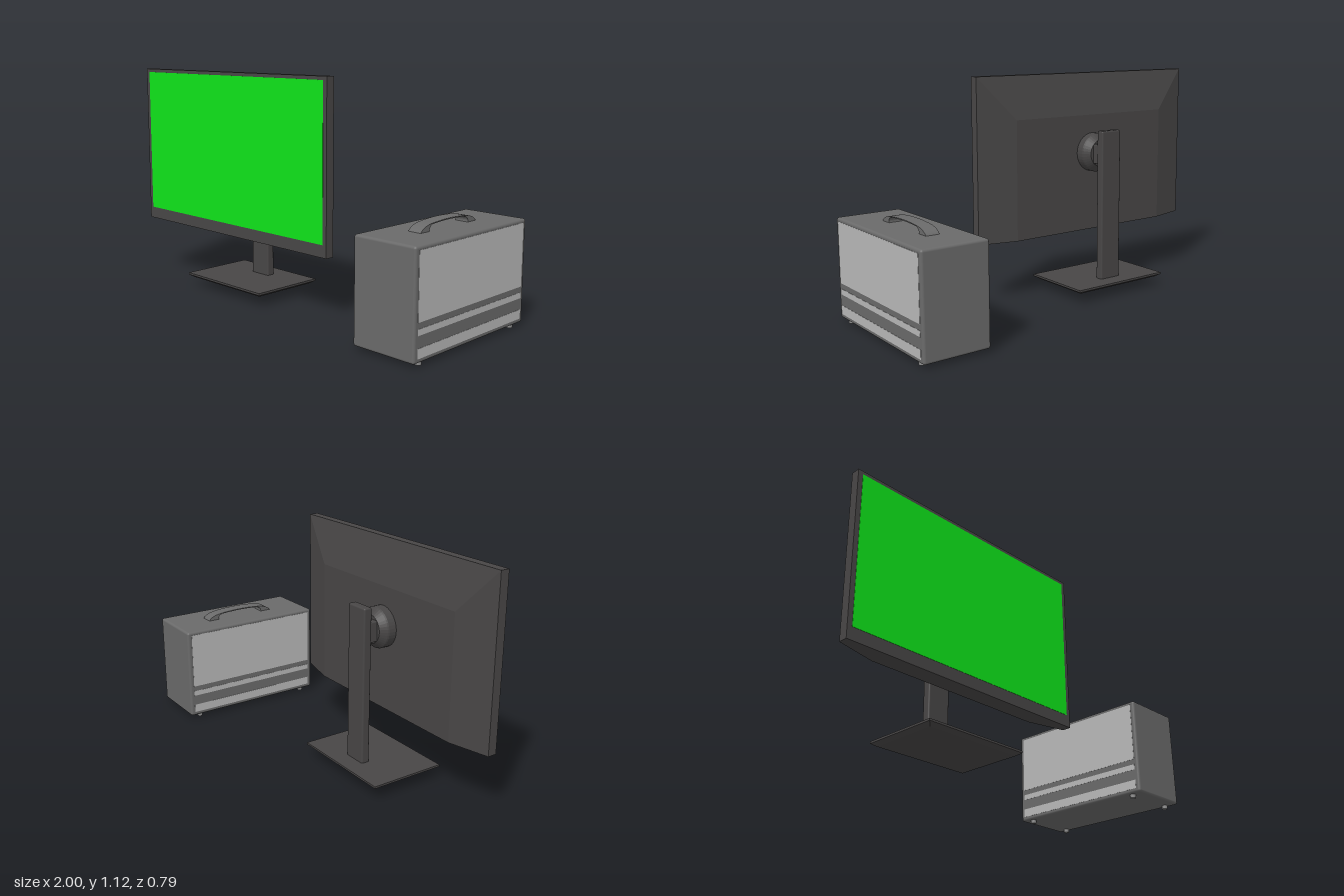
import * as THREE from 'three';
import { RoundedBoxGeometry } from 'three/addons/geometries/RoundedBoxGeometry.js';

const paint = (color) => new THREE.MeshStandardMaterial({ color });
const darkMat = paint(0x484646);
const screenMat = paint(0x0fe51a);
const caseMat = paint(0x6a6a6a);
const panelMat = paint(0xb8b8b8);
const footMat = paint(0x8a8a8a);

function add(parent, name, geometry, material, x = 0, y = 0, z = 0) {
  const mesh = new THREE.Mesh(geometry, material);
  mesh.name = name;
  mesh.position.set(x, y, z);
  parent.add(mesh);
  return mesh;
}

// Box whose corners are moved by a rule, with flat faces
function shapedBox(w, h, d, rule) {
  const box = new THREE.BoxGeometry(w, h, d).toNonIndexed();
  const p = box.attributes.position;
  const v = new THREE.Vector3();
  for (let i = 0; i < p.count; i++) {
    rule(v.fromBufferAttribute(p, i));
    p.setXYZ(i, v.x, v.y, v.z);
  }
  box.computeVertexNormals();
  return box;
}

function createMonitor() {
  const monitor = new THREE.Group();
  monitor.name = 'monitor';
  monitor.position.x = -0.32;

  // Display slab and its tapered rear shell (straight along the bottom)
  add(monitor, 'bezel', new THREE.BoxGeometry(1.36, 0.82, 0.045), darkMat, 0, 0.715, 0.2075);
  const shell = shapedBox(1.36, 0.82, 0.048, (v) => {
    if (v.z < 0) {
      v.x *= 0.96 / 1.36;
      if (v.y > 0) v.y -= 0.215;
    }
  });
  add(monitor, 'rearShell', shell, darkMat, 0, 0.715, 0.161);
  add(monitor, 'screen', new THREE.BoxGeometry(1.313, 0.743, 0.004), screenMat, 0.001, 0.7365, 0.2295);

  // Round swivel mount on the back
  const profile = [[0, -0.002], [0.1, -0.002], [0.1, 0.04], [0.097, 0.047], [0.07, 0.075], [0, 0.075]]
    .map(([r, y]) => new THREE.Vector2(r, y));
  const swivel = new THREE.LatheGeometry(profile, 40).toNonIndexed();
  swivel.computeVertexNormals();
  add(monitor, 'swivelMount', swivel, darkMat, 0, 0.716, 0.137).rotation.x = -Math.PI / 2;
  add(monitor, 'neck', new RoundedBoxGeometry(0.105, 0.1, 0.055, 2, 0.006), darkMat, 0, 0.716, 0.042);

  // Column and foot plate with a bevelled underside
  add(monitor, 'column', new RoundedBoxGeometry(0.122, 0.78, 0.043, 3, 0.008), darkMat, 0, 0.45, 0.0035);
  add(monitor, 'basePlate', new THREE.BoxGeometry(0.555, 0.01, 0.387), darkMat, 0, 0.064, 0.0865);
  const bevel = shapedBox(0.555, 0.014, 0.387, (v) => {
    if (v.y < 0) {
      v.x -= Math.sign(v.x) * 0.022;
      v.z -= Math.sign(v.z) * 0.022;
    }
  });
  add(monitor, 'baseBevel', bevel, darkMat, 0, 0.052, 0.0865);
  return monitor;
}

function createTower() {
  const tower = new THREE.Group();
  tower.name = 'computerCase';
  tower.position.set(0.8375, 0, 0.0025);

  add(tower, 'caseBody', new RoundedBoxGeometry(0.325, 0.48, 0.785, 4, 0.012), caseMat, 0, 0.257, 0);

  // Pale panel bands on both long sides
  const bands = [[0.187, 0.48], [0.133, 0.16], [0.037, 0.08]];
  for (const side of [-1, 1]) {
    for (const [low, high] of bands) {
      add(tower, 'sidePanel', new THREE.BoxGeometry(0.004, high - low, 0.74), panelMat,
        side * 0.1615, (low + high) / 2, 0);
    }
    // Small round feet
    for (const end of [-1, 1]) {
      add(tower, 'foot', new THREE.CylinderGeometry(0.014, 0.014, 0.02, 20), footMat,
        side * 0.136, 0.01, end * 0.33);
    }
  }

  // Strap handle: thin arch with thick ends
  const arch = new THREE.Shape();
  arch.moveTo(-0.195, 0);
  arch.quadraticCurveTo(-0.18, 0.026, -0.12, 0.033);
  arch.quadraticCurveTo(0, 0.045, 0.12, 0.033);
  arch.quadraticCurveTo(0.18, 0.026, 0.195, 0);
  arch.lineTo(0.135, 0);
  arch.quadraticCurveTo(0.14, 0.02, 0.115, 0.029);
  arch.quadraticCurveTo(0, 0.039, -0.115, 0.029);
  arch.quadraticCurveTo(-0.14, 0.02, -0.135, 0);
  arch.closePath();
  const strap = new THREE.ExtrudeGeometry(arch, { depth: 0.066, bevelEnabled: false, curveSegments: 12 });
  strap.translate(0, 0, -0.033);
  add(tower, 'handle', strap, caseMat, -0.005, 0.496, -0.003).rotation.y = Math.PI / 2;
  return tower;
}

export function createModel() {
  const model = new THREE.Group();
  model.name = 'desktopComputer';
  model.add(createMonitor(), createTower());
  return model;
}
